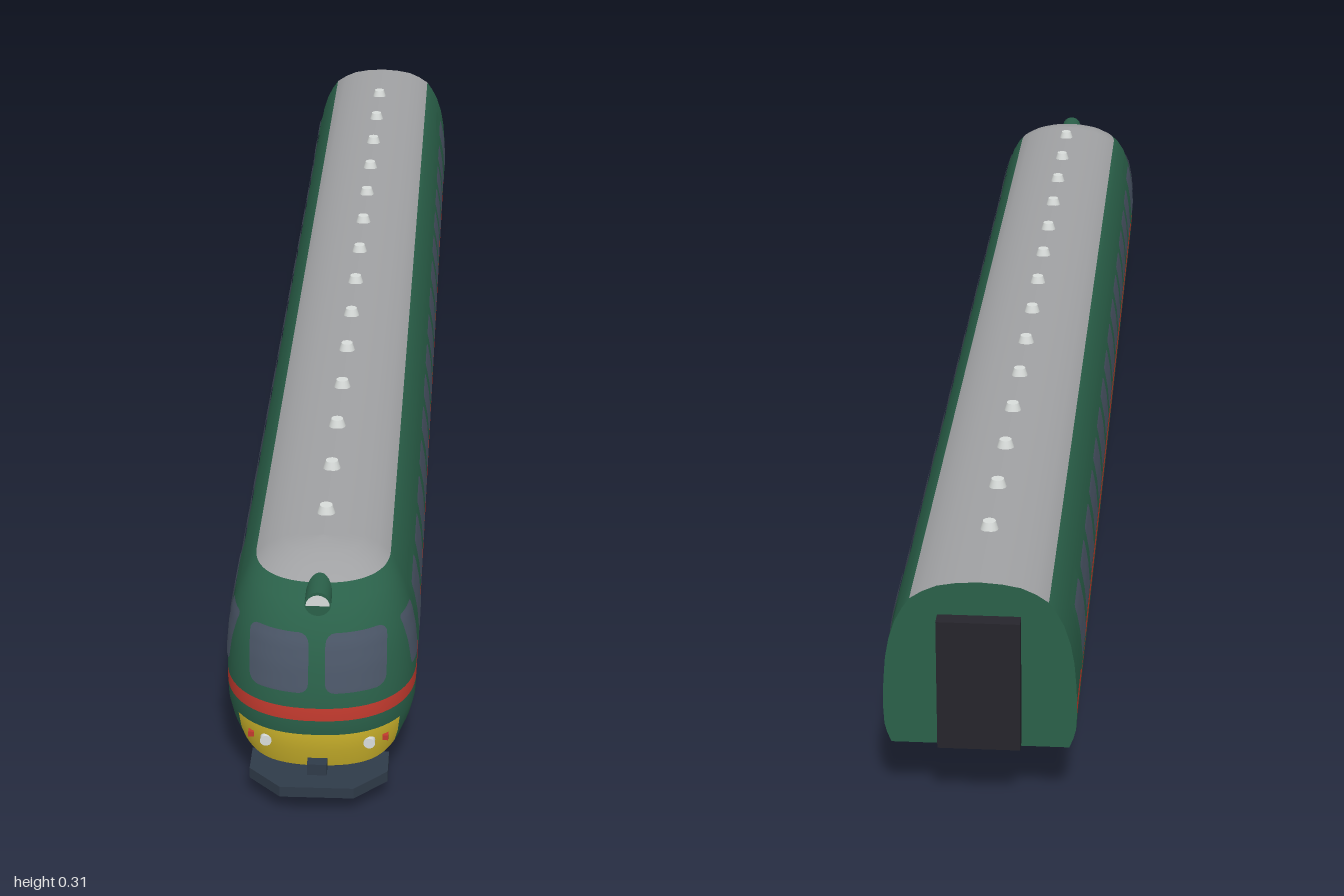
import * as THREE from 'three';

const mat = (name, color, side = THREE.FrontSide) => {
  const m = new THREE.MeshStandardMaterial({ color, side });
  m.name = name;
  return m;
};

// Body profile from sill to ridge: height, half width, nose tip z
const PROFILE = [
  [0.085, 0.108, 0.972], [0.098, 0.113, 0.984], [0.11, 0.116, 0.99], [0.13, 0.117, 0.991],
  [0.147, 0.117, 0.99], [0.17, 0.116, 0.987], [0.2, 0.1135, 0.98], [0.225, 0.109, 0.971],
  [0.25, 0.101, 0.957], [0.267, 0.092, 0.94], [0.28, 0.083, 0.918], [0.29, 0.068, 0.9],
  [0.298, 0.05, 0.878], [0.302, 0.028, 0.86], [0.304, 0, 0.84],
];
const BACK = -0.98, POWER = 2.3;

// Half width, nose tip and start of the nose curve at a height
function section(y) {
  let i = 0;
  while (i < PROFILE.length - 2 && PROFILE[i + 1][0] < y) i++;
  const [a, b] = [PROFILE[i], PROFILE[i + 1]];
  const t = (y - a[0]) / (b[0] - a[0]);
  const w = a[1] + (b[1] - a[1]) * t;
  const depth = 0.12 * w / 0.117;
  return { w, depth, z0: a[2] + (b[2] - a[2]) * t - depth };
}
const curve = (t) => Math.pow(Math.max(0, 1 - Math.pow(t, POWER)), 1 / POWER);
const sideX = (z, y) => {
  const s = section(y);
  return s.w * curve(Math.min(1, Math.max(0, (z - s.z0) / s.depth)));
};
const noseZ = (x, y) => {
  const s = section(y);
  return s.z0 + s.depth * curve(Math.min(1, Math.abs(x) / s.w));
};

function geometry(points, index) {
  const g = new THREE.BufferGeometry();
  g.setAttribute('position', new THREE.Float32BufferAttribute(points, 3));
  g.setIndex(index);
  g.computeVertexNormals();
  return g;
}

// Round-cornered grid patch laid on a surface function (u, v) -> [x, y, z]
function patch(u0, u1, v0, v1, r, fn) {
  const pts = [], idx = [], nu = 12, nv = 14;
  for (let j = 0; j <= nv; j++) {
    const v = v0 + (v1 - v0) * (1 - Math.cos(Math.PI * j / nv)) / 2;
    const d = Math.min(v - v0, v1 - v, r);
    const inset = r - Math.sqrt(Math.max(0, r * r - (r - d) ** 2));
    for (let i = 0; i <= nu; i++) {
      pts.push(...fn(u0 + inset + (u1 - u0 - 2 * inset) * i / nu, v));
      if (i < nu && j < nv) {
        const a = j * (nu + 1) + i, b = a + nu + 1;
        idx.push(a, a + 1, b + 1, a, b + 1, b);
      }
    }
  }
  return geometry(pts, idx);
}

export function createModel() {
  const model = new THREE.Group();
  model.name = 'railcar';
  const green = mat('body green', 0x2a6049, THREE.DoubleSide);
  const red = mat('stripe red', 0xc23a2e);
  const yellow = mat('warning yellow', 0xd6bc2e);
  const roofGrey = mat('roof grey', 0xa0a1a3);
  const glass = mat('window slate', 0x4a5566, THREE.DoubleSide);
  const slate = mat('frame slate', 0x2f3b49);
  const black = mat('gangway black', 0x26252c);
  const white = mat('lamp white', 0xd8dcda);
  const steel = mat('wheel steel', 0xa6a8aa);
  const underGrey = mat('underfloor grey', 0x8a8a8a);

  const add = (name, geo, material, x = 0, y = 0, z = 0, parent = model) => {
    const m = new THREE.Mesh(geo, material);
    m.name = name;
    m.position.set(x, y, z);
    parent.add(m);
    return m;
  };
  const box = (name, w, h, d, material, x, y, z, parent) =>
    add(name, new THREE.BoxGeometry(w, h, d), material, x, y, z, parent);

  // Body shell: each profile row runs up one side, round the nose and back
  const N = 16, cols = 2 * N + 3, pts = [];
  for (const [y] of PROFILE) {
    const s = section(y);
    for (let i = 0; i < cols; i++) {
      let x = i ? -s.w : s.w, z = BACK;
      if (i > 0 && i < cols - 1) {
        const a = Math.PI * (i - 1) / (2 * N);
        const c = Math.cos(a);
        x = s.w * Math.sign(c) * Math.pow(Math.abs(c), 2 / POWER);
        z = s.z0 + s.depth * Math.pow(Math.max(0, Math.sin(a)), 2 / POWER);
      }
      // the skirt drops lower at the nose
      const drop = 0.03 * THREE.MathUtils.smoothstep(z, 0.875, 0.965);
      pts.push(x, y - drop * Math.max(0, (0.11 - y) / 0.025), z);
    }
  }
  const faces = [[], [], [], []];
  const rows = PROFILE.length;
  for (let j = 0; j < rows - 1; j++) {
    for (let i = 0; i < cols - 1; i++) {
      const a = j * cols + i, b = a + cols;
      const y = PROFILE[j][0];
      let k = 0;
      if (y < 0.11 && i >= 7 && i < cols - 8) k = 2;
      else if (y === 0.13) k = 1;
      else if (y >= 0.28) k = 3;
      faces[k].push(a, b, b + 1, a, b + 1, a + 1);
    }
  }
  const shell = geometry(pts, faces.flat());
  let start = 0;
  faces.forEach((f, k) => {
    shell.addGroup(start, f.length, k);
    start += f.length;
  });
  add('bodyShell', shell, [green, red, yellow, roofGrey]);

  // Floor and rear wall close the shell
  const floorPts = [], floorIdx = [];
  for (let i = 0; i <= N + 1; i++) {
    for (const c of [i, cols - 1 - i]) floorPts.push(...pts.slice(c * 3, c * 3 + 3));
    if (i <= N) floorIdx.push(2 * i, 2 * i + 2, 2 * i + 3, 2 * i, 2 * i + 3, 2 * i + 1);
  }
  add('floor', geometry(floorPts, floorIdx), underGrey);
  const wall = new THREE.Shape([
    ...PROFILE.map(([y, w]) => new THREE.Vector2(w, y)),
    ...PROFILE.slice(0, -1).reverse().map(([y, w]) => new THREE.Vector2(-w, y)),
  ]);
  add('rearWall', new THREE.ShapeGeometry(wall), green, 0, 0, BACK);
  box('gangway', 0.1, 0.17, 0.02, black, 0, 0.175, -0.99);

  // Windows and doors follow the curved surface
  for (const s of [-1, 1]) {
    const sidePatch = (name, z0, z1, y0, y1, m, off = 0.002) =>
      add(name, patch(z0, z1, y0, y1, 0.006, (z, y) => [s * (sideX(z, y) + off), y, z]), m);
    for (let i = 0; i < 14; i++) {
      const z = 0.675 - i * 0.109;
      sidePatch('sideWindow', z - 0.04, z + 0.04, 0.165, 0.23, glass);
    }
    for (const z of [0.795, -0.86]) {
      sidePatch('door', z - 0.05, z + 0.05, 0.15, 0.25, green, 0.0015);
      sidePatch('doorWindow', z - 0.04, z + 0.04, 0.165, 0.235, glass, 0.003);
    }
    sidePatch('cabSideWindow', 0.87, 0.915, 0.168, 0.235, glass);
    const [x0, x1] = s > 0 ? [0.01, 0.083] : [-0.083, -0.01];
    add('windscreen', patch(x0, x1, 0.168, 0.238, 0.012, (x, y) => [x, y, noseZ(x, y) + 0.003]), glass);

    // Nose lamps
    const lamp = add('headlight', new THREE.CylinderGeometry(0.007, 0.007, 0.01, 20), white,
      s * 0.063, 0.092, noseZ(0.063, 0.102) + 0.001);
    lamp.rotation.x = Math.PI / 2;
    box('tailLight', 0.007, 0.007, 0.01, red, s * 0.082, 0.092, noseZ(0.082, 0.102) + 0.001);
  }

  // Top headlight
  const housing = add('topLightHousing', new THREE.CylinderGeometry(0.016, 0.016, 0.05, 24), green, 0, 0.271, 0.93);
  housing.rotation.x = Math.PI / 2;
  add('topLightLens', new THREE.CircleGeometry(0.0145, 24, 0, Math.PI), white, 0, 0.269, 0.956);

  // Roof vents
  for (let i = 0; i < 14; i++) {
    add('roofVent', new THREE.CylinderGeometry(0.008, 0.012, 0.013, 16), white, 0, 0.3075, 0.78 - i * 0.124);
  }

  // Coupler and plough under the nose
  box('coupler', 0.024, 0.015, 0.04, slate, 0, 0.062, 0.973);
  const plan = new THREE.Shape([[-0.085, -0.915], [-0.085, -0.96], [-0.045, -1], [0.045, -1], [0.085, -0.96], [0.085, -0.915]]
    .map(([x, y]) => new THREE.Vector2(x, y)));
  const plough = new THREE.ExtrudeGeometry(plan, { depth: 0.014, bevelEnabled: false });
  plough.rotateX(-Math.PI / 2);
  add('plough', plough, slate, 0, 0.027, 0);
  box('ploughBracket', 0.06, 0.03, 0.03, slate, 0, 0.054, 0.935);

  // Underfloor equipment boxes
  for (const [z0, z1, y] of [[0.265, 0.54, 0.038], [-0.095, 0.225, 0.047], [-0.535, -0.135, 0.033]]) {
    box('underfloorBox', 0.17, 0.086 - y, z1 - z0, underGrey, 0, (0.086 + y) / 2, (z0 + z1) / 2);
  }

  // Bogies
  for (const zc of [0.7, -0.7]) {
    const bogie = new THREE.Group();
    bogie.name = 'bogie';
    bogie.position.z = zc;
    model.add(bogie);
    box('transom', 0.17, 0.014, 0.05, slate, 0, 0.047, 0, bogie);
    box('pivot', 0.05, 0.035, 0.04, slate, 0, 0.07, 0, bogie);
    const disc = (name, r, len, m, x, y, z) => {
      add(name, new THREE.CylinderGeometry(r, r, len, 24), m, x, y, z, bogie).rotation.z = Math.PI / 2;
    };
    for (const s of [-1, 1]) {
      box('sideFrame', 0.014, 0.014, 0.25, slate, s * 0.084, 0.048, 0, bogie);
      box('spring', 0.016, 0.014, 0.05, slate, s * 0.084, 0.06, 0, bogie);
      disc('axle', 0.007, 0.17, steel, 0, 0.032, s * 0.1);
      for (const z of [-0.1, 0.1]) {
        disc('wheel', 0.032, 0.011, steel, s * 0.063, 0.032, z);
        box('axleBox', 0.012, 0.028, 0.024, steel, s * 0.088, 0.04, z, bogie);
      }
    }
  }
  return model;
}
